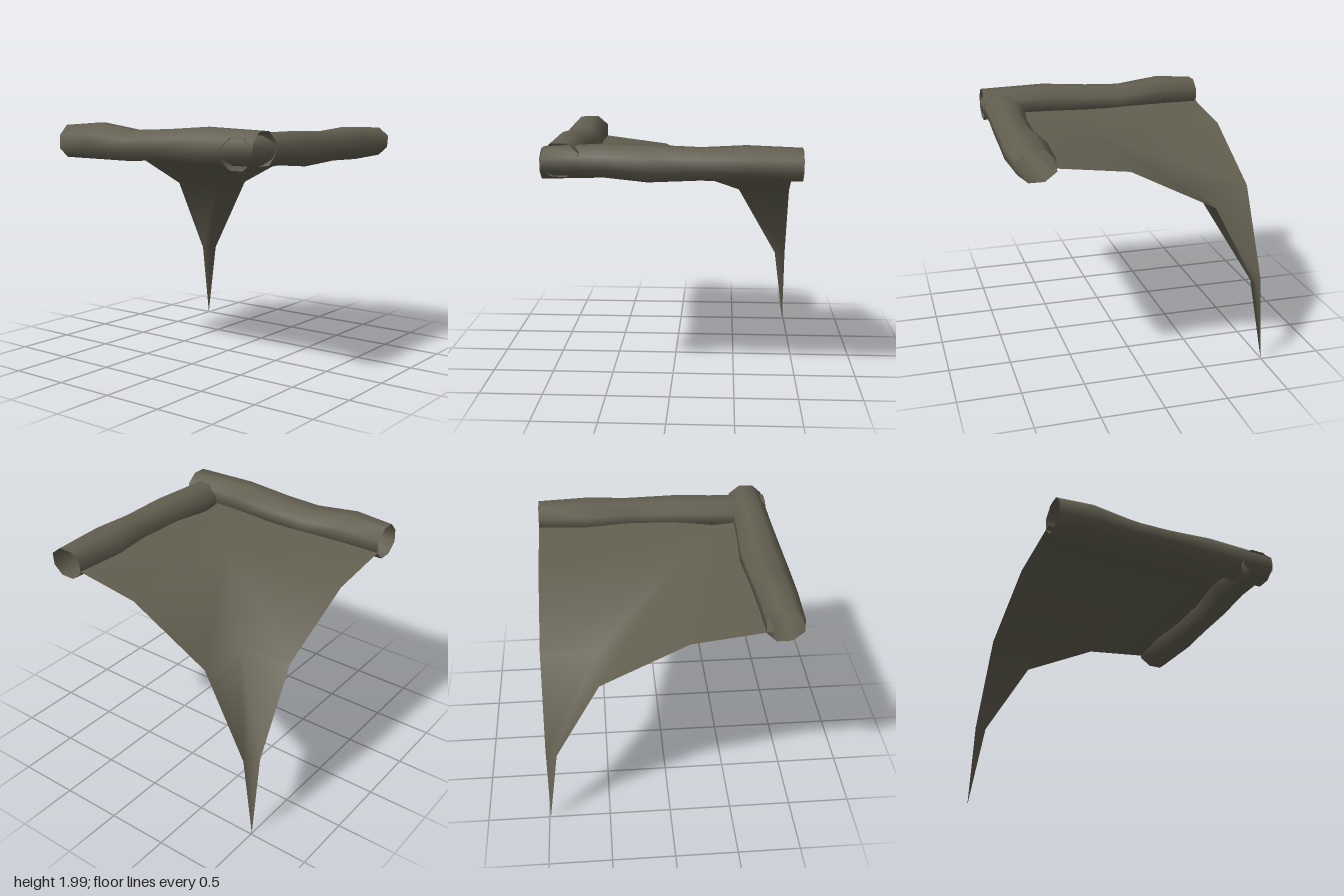
import * as THREE from 'three';

const SIDES = 8;

// Indexed, smooth-shaded geometry from points and triangles
function surface(points, index) {
  const g = new THREE.BufferGeometry();
  g.setAttribute('position', new THREE.Float32BufferAttribute(points, 3));
  g.setIndex(index);
  g.computeVertexNormals();
  return g;
}

// Hollow, uneven log. Each section: [along, side min, side max, bottom, top]
function logGeometry(sections, place) {
  const points = [], index = [];
  const k = Math.cos(Math.PI / SIDES);
  sections.forEach(([t, s0, s1, y0, y1], i) => {
    for (let j = 0; j < SIDES; j++) {
      const a = ((j + 0.5) / SIDES) * Math.PI * 2;
      const dent = 1 - 0.06 * Math.abs(Math.sin(i * 2.3 + j * 1.7)) * (j % 2);
      const s = (s0 + s1) / 2 + ((s1 - s0) / 2) * (Math.cos(a) / k) * dent;
      const y = (y0 + y1) / 2 + ((y1 - y0) / 2) * (Math.sin(a) / k);
      points.push(...place(t, s, y));
      if (i > 0) {
        const n = (j + 1) % SIDES, p = (i - 1) * SIDES, q = i * SIDES;
        index.push(p + j, q + j, p + n, p + n, q + j, q + n);
      }
    }
  });
  return surface(points, index);
}

// Quarter of a square funnel: rings [distance from the corner, height]
function funnelGeometry(rings, cx, cz) {
  const points = [cx, 0, cz], index = [];
  rings.forEach(([r, y], i) => {
    points.push(cx, y, cz + r, cx - r, y, cz + r, cx - r, y, cz);
    const q = 1 + i * 3, p = q - 3;
    for (let j = 0; j < 2; j++) {
      if (i === 0) index.push(0, q + j + 1, q + j);
      else if (j === 0) index.push(p, p + 1, q + 1, p, q + 1, q);
      else index.push(p + 1, p + 2, q + 1, p + 2, q + 2, q + 1);
    }
  });
  // make every triangle face upwards
  const v = (n) => new THREE.Vector3().fromArray(points, n * 3);
  for (let i = 0; i < index.length; i += 3) {
    const a = v(index[i]);
    const n = v(index[i + 1]).sub(a).cross(v(index[i + 2]).sub(a));
    if (n.y < 0) [index[i + 1], index[i + 2]] = [index[i + 2], index[i + 1]];
  }
  return surface(points, index);
}

export function createModel() {
  const group = new THREE.Group();
  const bark = new THREE.MeshStandardMaterial({ color: 0x625f50, side: THREE.DoubleSide });
  bark.name = 'greyOlive';
  const add = (name, geometry) => {
    const mesh = new THREE.Mesh(geometry, bark);
    mesh.name = name;
    group.add(mesh);
  };

  // Sagging sheet that drops to a point at the back corner
  add('funnelSheet', funnelGeometry(
    [[0.09, 0.68], [0.45, 1.36], [1.13, 1.71], [1.74, 1.79]], 0.99, -1));

  // Log along the front edge
  add('frontLog', logGeometry([
    [-0.97, 0.66, 0.95, 1.69, 1.92],
    [-0.5, 0.62, 0.95, 1.70, 1.94],
    [-0.17, 0.68, 0.96, 1.67, 1.94],
    [0.23, 0.69, 0.975, 1.69, 1.925],
    [0.57, 0.655, 1.0, 1.68, 1.94],
    [0.99, 0.68, 0.98, 1.69, 1.925],
  ], (t, s, y) => [t, y, s]));

  // Log along the side edge
  add('sideLog', logGeometry([
    [-1, -0.98, -0.69, 1.70, 1.965],
    [-0.68, -0.985, -0.68, 1.70, 1.99],
    [-0.3, -0.99, -0.665, 1.70, 1.94],
    [0, -0.98, -0.645, 1.72, 1.955],
    [0.4, -0.97, -0.67, 1.71, 1.985],
    [0.95, -0.97, -0.68, 1.72, 1.97],
  ], (t, s, y) => [s, y, t]));

  return group;
}
